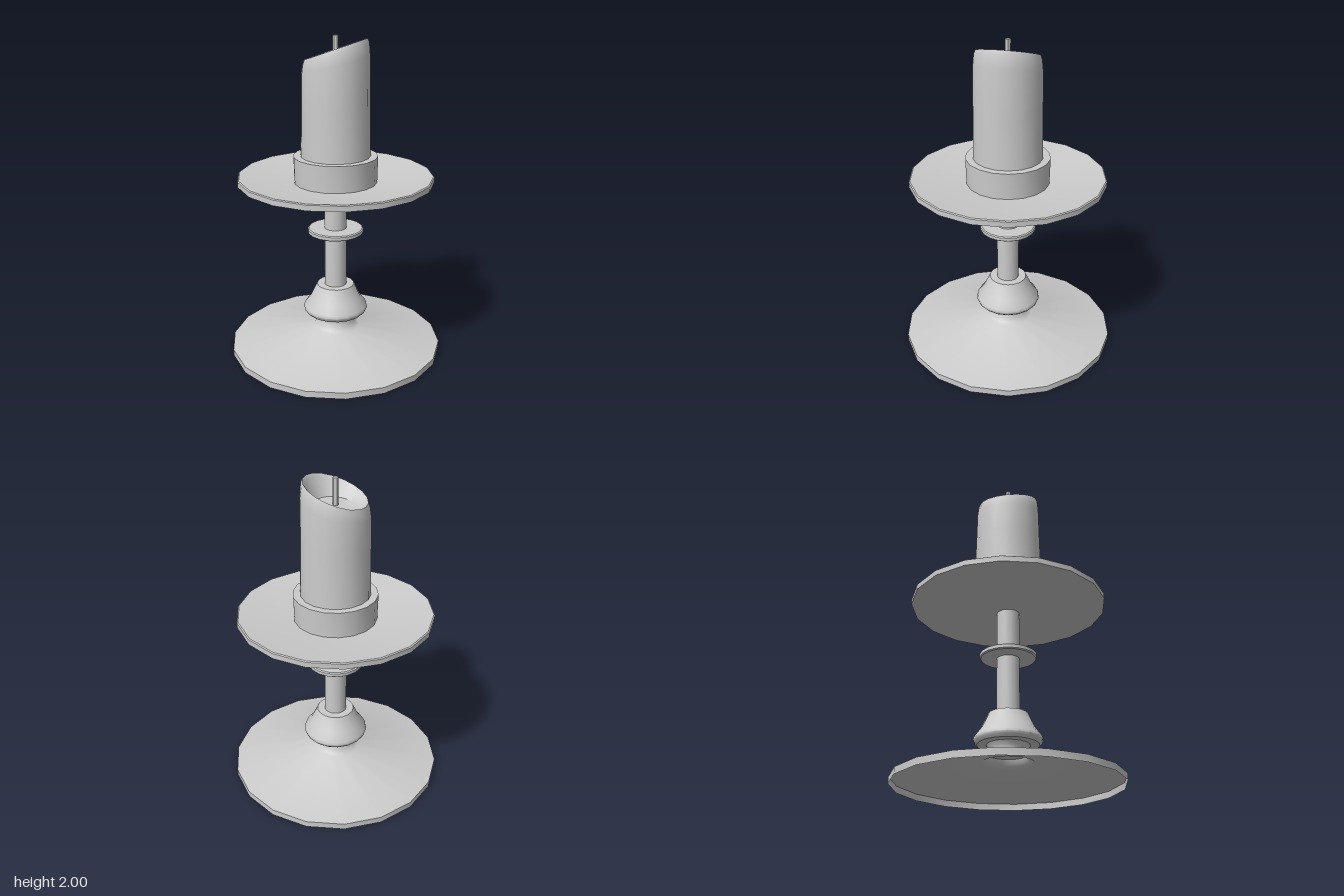
import * as THREE from 'three';
import { toCreasedNormals } from 'three/addons/utils/BufferGeometryUtils.js';

const SIDES = 18;
const material = new THREE.MeshStandardMaterial({ color: 0xcccccc });
const shellMaterial = new THREE.MeshStandardMaterial({ color: 0xcccccc, side: THREE.DoubleSide });

// Turned shape from [radius, height] pairs listed bottom to top, with a corner on the x axis
function turned(profile, sides = SIDES) {
  const points = profile.map(([r, y]) => new THREE.Vector2(r, y));
  return new THREE.LatheGeometry(points, sides, Math.PI / 2);
}

// Smooth around the facets, sharp at the edges (enlarged while creasing so near points stay separate)
function addPart(group, name, geometry, mat = material) {
  const creased = toCreasedNormals(geometry.scale(100, 100, 100), 0.6);
  creased.scale(0.01, 0.01, 0.01);
  const mesh = new THREE.Mesh(creased, mat);
  mesh.name = name;
  group.add(mesh);
}

// Candle whose melted top leans: each ring is [radius, height, share of the lean]
function candleGeometry() {
  const rings = [
    [0, 1.27, 0], [0.215, 1.27, 0], [0.208, 1.6, 0], [0.204, 1.83, 0.7],
    [0.197, 1.895, 1], [0.187, 1.92, 1], [0.175, 1.907, 1],
    [0.15, 1.87, 0.7], [0.115, 1.84, 0.3], [0, 1.84, 0],
  ];
  const geometry = turned(rings);
  const pos = geometry.attributes.position;
  for (let i = 0; i < pos.count; i++) {
    const lean = rings[i % rings.length][2];
    pos.setY(i, pos.getY(i) + lean * (0.34 * pos.getZ(i) + 0.1 * pos.getX(i)));
  }
  return geometry;
}

export function createModel() {
  const group = new THREE.Group();
  group.name = 'candlestick';

  // Hollow foot, open underneath
  addPart(group, 'base', turned([
    [0.675, 0], [0.675, 0.04], [0.155, 0.135], [0.135, 0.149], [0.122, 0.167], [0.115, 0.187],
  ]), shellMaterial);

  // Stem parts, from the foot upwards
  addPart(group, 'collar', turned([
    [0, 0.187], [0.115, 0.187], [0.112, 0.2], [0.118, 0.22], [0.13, 0.24], [0, 0.24],
  ]));
  addPart(group, 'knob', turned([
    [0, 0.24], [0.185, 0.24], [0.2, 0.255], [0.205, 0.27], [0.2, 0.288],
    [0.16, 0.34], [0.118, 0.43], [0, 0.43],
  ]));
  addPart(group, 'shaft', turned([[0.07, 0.42], [0.07, 1.1]]), shellMaterial);
  addPart(group, 'ring', turned([
    [0.06, 0.78], [0.168, 0.78], [0.175, 0.786], [0.175, 0.806], [0.168, 0.812], [0.06, 0.812],
  ]));

  // Shallow dished drip plate
  addPart(group, 'dripPlate', turned([
    [0, 1.083], [0.07, 1.085], [0.605, 1.122], [0.605, 1.155], [0.598, 1.16],
    [0.26, 1.115], [0, 1.112],
  ]));

  // Candle and its holder
  addPart(group, 'cup', turned([[0.256, 1.1], [0.26, 1.28], [0, 1.28]]), shellMaterial);
  addPart(group, 'candle', candleGeometry());
  addPart(group, 'wick', turned([[0, 1.82], [0.018, 1.82], [0.018, 2], [0, 2]], 6));

  return group;
}
